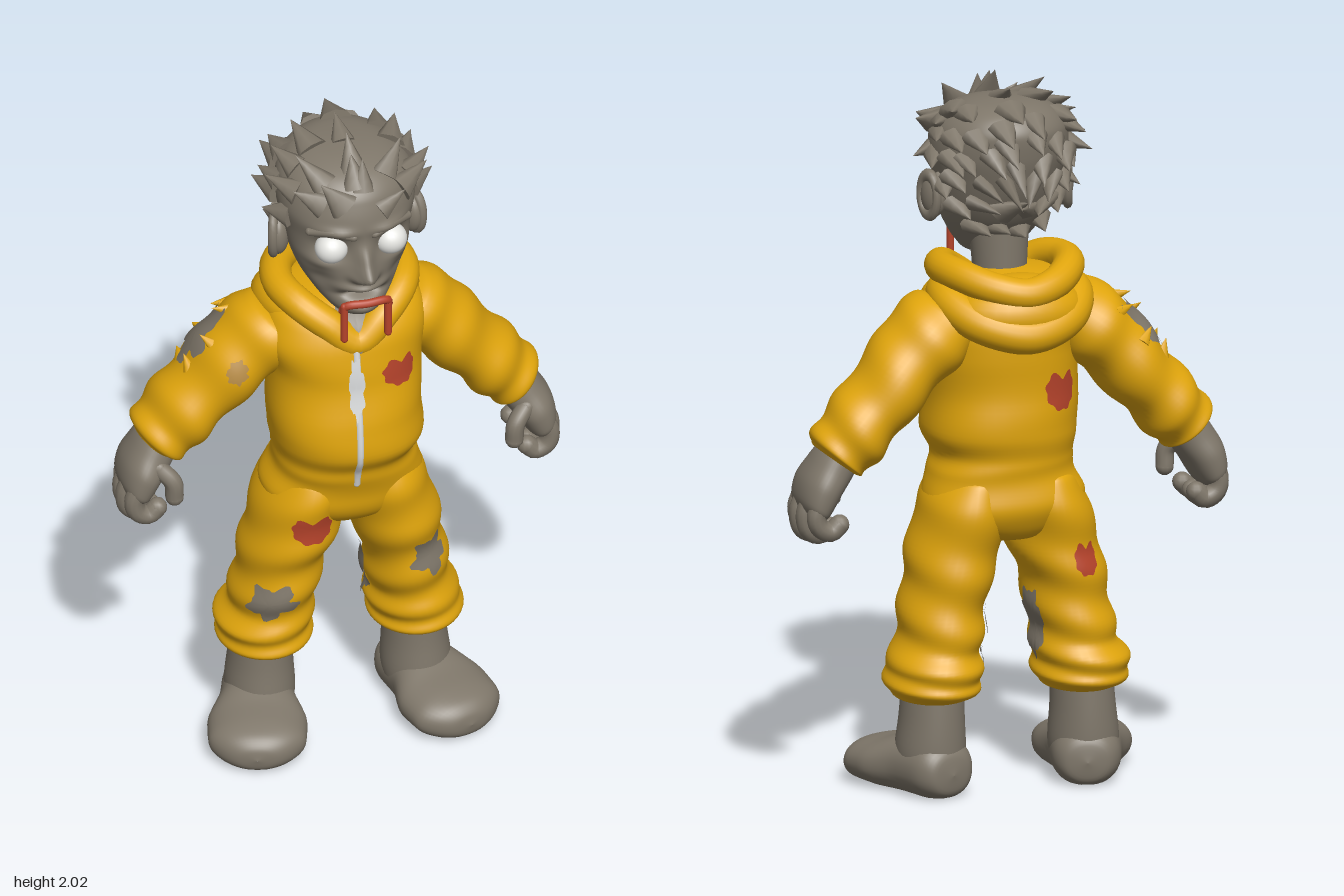
import * as THREE from 'three';
import { mergeGeometries } from 'three/addons/utils/BufferGeometryUtils.js';

const V = (x, y, z) => new THREE.Vector3(x, y, z);
const X = V(1, 0, 0), Y = V(0, 1, 0), Z = V(0, 0, 1);
const TIP = 0.0005; // radius of a closed end
const paint = (name, color) => Object.assign(new THREE.MeshStandardMaterial({ color }), { name });

export function createModel() {
  const skin = paint('grey skin', 0x7f776a), cloth = paint('yellow cloth', 0xe0a50c), blood = paint('blood red', 0xb5432b);
  const white = paint('eye white', 0xe6e6e2), metal = paint('zip silver', 0xd6d8d9), tan = paint('tan patch', 0xb88d48);
  const model = new THREE.Group();
  model.name = 'figure';
  let seed = 7;
  const rand = () => (seed = (seed * 16807) % 2147483647) / 2147483647;

  const add = (name, geo, mat) => {
    const m = new THREE.Mesh(geo, mat);
    m.name = name;
    model.add(m);
    return m;
  };
  const indexed = (pos, idx) => {
    const g = new THREE.BufferGeometry();
    g.setAttribute('position', new THREE.Float32BufferAttribute(pos, 3));
    g.setIndex(idx);
    g.computeVertexNormals();
    return g;
  };

  // Skin over elliptical cross-sections [x, y, z, radius along u, radius along v]
  function loft(name, mat, rows, { u = X, v = Z, n = 2, seg = 40, steps = 48, fold = 0, freq = 30, shape } = {}) {
    const w = u.clone().cross(v), last = rows.length - 1;
    const slope = (i, c) => {
      const d0 = i > 0 ? rows[i][c] - rows[i - 1][c] : rows[1][c] - rows[0][c];
      const d1 = i < last ? rows[i + 1][c] - rows[i][c] : d0;
      return d0 * d1 <= 0 ? 0 : 2 * d0 * d1 / (d0 + d1);
    };
    const row = t => {
      const k = t * last, i = Math.min(Math.floor(k), last - 1), f = k - i, f2 = f * f, f3 = f2 * f;
      return rows[i].map((p, c) => p * (2 * f3 - 3 * f2 + 1) + rows[i + 1][c] * (3 * f2 - 2 * f3)
        + slope(i, c) * (f3 - 2 * f2 + f) + slope(i + 1, c) * (f3 - f2));
    };
    const at = (t, th, off = 0) => {
      const [x, y, z, a, b] = row(t), c = Math.cos(th), s = Math.sin(th), e = 2 / n;
      const r = off + fold * Math.sin(freq * t + 1.6 * Math.sin(th + 1)) * Math.sin(Math.PI * t);
      const p = V(x, y, z)
        .addScaledVector(u, Math.max(a + r, 0) * Math.sign(c) * Math.abs(c) ** e)
        .addScaledVector(v, Math.max(b + r, 0) * Math.sign(s) * Math.abs(s) ** e);
      if (shape) shape(p);
      return p;
    };
    const sign = Math.sign(V(...rows[last]).sub(V(...rows[0])).dot(w));
    // Nearest surface point to P, measured outwards from the centre line
    const project = (P, off = 0) => {
      let lo = 0, hi = 1;
      for (let i = 0; i < 24; i++) {
        const m = (lo + hi) / 2, c = row(m);
        if ((V(c[0], c[1], c[2]).dot(w) - P.dot(w)) * sign < 0) lo = m; else hi = m;
      }
      const c = row(lo), d = P.clone().sub(V(c[0], c[1], c[2]));
      return at(lo, Math.atan2(d.dot(v) / c[4], d.dot(u) / c[3]), off);
    };
    const pos = [], idx = [];
    for (let i = 0; i <= steps; i++) for (let j = 0; j < seg; j++) {
      pos.push(...at(i / steps, j / seg * 2 * Math.PI).toArray());
      if (i === steps) continue;
      const a = i * seg + j, b = i * seg + (j + 1) % seg, c = a + seg, d = b + seg;
      idx.push(...(sign > 0 ? [a, b, d, a, d, c] : [a, d, b, a, c, d]));
    }
    return { mesh: add(name, indexed(pos, idx), mat), project };
  }

  // Thin painted plate wrapped onto a loft, outline given as radius by angle
  function decal(name, mat, surf, P, e1, e2, outline, off = 0.005) {
    const rings = 6, seg = 48, pos = [...surf.project(P, off).toArray()], idx = [];
    const n = surf.project(P, off).sub(surf.project(P, -0.03));
    const order = e1.clone().cross(e2).dot(n) > 0;
    for (let r = 1; r <= rings; r++) for (let j = 0; j < seg; j++) {
      const f = j / seg * 2 * Math.PI, q = outline(f) * r / rings;
      pos.push(...surf.project(P.clone().addScaledVector(e1, q * Math.cos(f)).addScaledVector(e2, q * Math.sin(f)), off).toArray());
      const k = (j + 1) % seg, o = 1 + (r - 1) * seg, tri = (a, b, c) => idx.push(...(order ? [a, b, c] : [a, c, b]));
      if (r === 1) tri(0, 1 + j, 1 + k);
      else { tri(o - seg + j, o + j, o + k); tri(o - seg + j, o + k, o - seg + k); }
    }
    add(name, indexed(pos, idx), mat);
  }
  const torn = f => 0.88 + 0.2 * Math.cos(5 * f + 0.6) + 0.08 * Math.sin(11 * f);
  const stain = f => 1 - 0.65 * Math.exp(-(((f - 1.6) / 0.42) ** 2)) + 0.06 * Math.sin(9 * f);
  const ragged = f => 0.9 + 0.1 * Math.sin(7 * f) + 0.07 * Math.cos(12 * f);

  // Round-ended tube through points
  const tube = (pts, r, closed = false) => {
    const parts = [new THREE.TubeGeometry(new THREE.CatmullRomCurve3(pts, closed), closed ? 72 : 20, r, closed ? 18 : 12, closed)];
    if (!closed) for (const p of [pts[0], pts[pts.length - 1]]) parts.push(new THREE.SphereGeometry(r, 12, 8).translate(p.x, p.y, p.z));
    return mergeGeometries(parts);
  };
  // Pointed tuft or cloth shred starting at p
  const spike = (p, dir, r, h) => {
    const g = new THREE.ConeGeometry(r, h, 8, 3);
    g.translate(0, h / 2 - 0.022, 0).scale(1, 1, 0.65);
    g.applyQuaternion(new THREE.Quaternion().setFromUnitVectors(Y, dir.clone().normalize()));
    return g.translate(p.x, p.y, p.z);
  };
  const ball = (name, mat, p, s) => {
    const m = add(name, new THREE.SphereGeometry(1, 32, 20), mat);
    m.position.copy(p);
    m.scale.copy(s);
    return m;
  };

  // Torso of the suit
  const torso = loft('suitTorso', cloth, [
    [0, 0.705, -0.02, TIP, TIP], [0, 0.718, -0.02, 0.1, 0.1], [0, 0.765, -0.016, 0.2, 0.155], [0, 0.83, -0.01, 0.23, 0.177], [0, 0.9, 0, 0.205, 0.18],
    [0, 0.95, 0.01, 0.196, 0.188], [0, 1.02, 0.015, 0.215, 0.212], [0, 1.12, 0.02, 0.214, 0.208], [0, 1.25, 0, 0.215, 0.195],
    [0, 1.35, 0, 0.235, 0.188], [0, 1.42, -0.01, 0.218, 0.165], [0, 1.47, -0.03, 0.15, 0.12], [0, 1.49, -0.03, TIP, TIP],
  ], { n: 2.25, seg: 56, steps: 72, fold: 0.004, freq: 38 });
  decal('openCollarSkin', skin, torso, V(0, 1.455, 0.14), V(0.09, 0, 0), V(0, 0.1, 0),
    f => 0.5 / Math.cos(((f + Math.PI / 2) % (2 * Math.PI / 3)) - Math.PI / 3));
  decal('chestStain', blood, torso, V(0.112, 1.275, 0.17), V(0.066, 0, 0), V(0, 0.05, 0), stain);
  decal('backStain', blood, torso, V(-0.115, 1.155, -0.17), V(0.058, 0, -0.015), V(0, 0.062, 0), stain);
  const zip = [];
  for (let y = 1.36; y > 0.89; y -= 0.03) zip.push(torso.project(V(-0.008, y, 0.2), -0.006));
  add('zip', tube(zip, 0.011), metal);
  decal('zipFlap', metal, torso, V(-0.013, 1.25, 0.2), V(0.019, 0, 0), V(0, 0.1, 0), ragged, 0.006);

  // Folded-down hood
  const loop = pts => [...pts, ...pts.slice(1, -1).reverse().map(p => V(-p.x, p.y, p.z))];
  add('hoodRim', tube(loop([V(0, 1.372, 0.145), V(0.08, 1.432, 0.125), V(0.148, 1.478, 0.07), V(0.178, 1.49, -0.02),
    V(0.155, 1.488, -0.12), V(0.085, 1.465, -0.2), V(0, 1.45, -0.228)]), 0.045, true), cloth);
  add('hoodRoll', tube(loop([V(0, 1.4, 0.06), V(0.15, 1.42, 0.02), V(0.182, 1.41, -0.09), V(0.125, 1.365, -0.195), V(0, 1.335, -0.24)]), 0.053, true), cloth);
  ball('hoodBag', cloth, V(0, 1.385, -0.14), V(0.19, 0.1, 0.135));

  // Neck and head
  loft('neck', skin, [[0, 1.36, 0.03, 0.08, 0.085], [0, 1.45, 0.01, 0.075, 0.08], [0, 1.6, 0.02, 0.085, 0.09]], { steps: 12 });
  const bumps = [ // x, y, height, spread x, spread y
    [0, 1.662, 0.05, 0.027, 0.026], [0, 1.7, 0.032, 0.022, 0.04], [0.025, 1.648, 0.018, 0.018, 0.016],
    [0.085, 1.735, -0.028, 0.045, 0.035], [0.08, 1.795, 0.016, 0.05, 0.016], [0.12, 1.685, 0.012, 0.035, 0.018],
    [0.11, 1.62, -0.018, 0.03, 0.03], [0, 1.608, 0.022, 0.06, 0.014], [0, 1.575, -0.04, 0.05, 0.013], [0, 1.53, 0.012, 0.05, 0.02],
  ];
  const head = loft('head', skin, [
    [0, 1.495, 0.12, TIP, TIP], [0, 1.502, 0.12, 0.06, 0.075], [0, 1.53, 0.105, 0.092, 0.112], [0, 1.575, 0.083, 0.125, 0.132],
    [0, 1.62, 0.066, 0.15, 0.157], [0, 1.68, 0.048, 0.17, 0.177], [0, 1.75, 0.033, 0.182, 0.192], [0, 1.82, 0.023, 0.195, 0.202],
    [0, 1.88, 0.01, 0.187, 0.196], [0, 1.93, 0, 0.15, 0.16], [0, 1.957, -0.01, 0.085, 0.09], [0, 1.966, -0.01, TIP, TIP],
  ], {
    seg: 112, steps: 110,
    shape: p => {
      const front = THREE.MathUtils.smoothstep(p.z, 0.02, 0.14), ax = Math.abs(p.x), y = p.y;
      for (const [x, by, h, sx, sy] of bumps) p.z += front * h * Math.exp(-(((ax - x) / sx) ** 2) - ((y - by) / sy) ** 2);
    },
  });
  for (const s of [1, -1]) {
    const side = s > 0 ? 'left' : 'right';
    ball(side + 'Eye', white, V(s * 0.085, 1.735, 0.186), V(0.047, 0.045, 0.045));
    add(side + 'Brow', tube([V(s * 0.03, 1.782, 0.218), V(s * 0.08, 1.797, 0.207), V(s * 0.14, 1.785, 0.162)], 0.013), skin);
    const ear = ball(side + 'Ear', skin, V(s * 0.19, 1.69, 0.022), V(0.03, 0.062, 0.044));
    ear.rotation.y = s * 0.35;
    const rim = add(side + 'EarRim', new THREE.TorusGeometry(0.042, 0.014, 10, 28), skin);
    rim.scale.set(0.85, 1.35, 1);
    rim.position.set(s * 0.204, 1.692, 0.02);
    rim.rotation.y = Math.PI / 2 + s * 0.35;
  }

  // Swept-back hair in flat clumps, standing up more on the crown
  const tufts = [];
  for (const [y, reach, count] of [[1.6, 0.8, 4], [1.67, 1.15, 6], [1.74, 1.5, 8], [1.81, 1.95, 11], [1.87, 2.9, 14], [1.92, 3.1, 10], [1.95, 3.1, 5]])
    for (let i = 0; i < count; i++) {
      const az = (i / (count - 1) * 2 - 1) * reach + (rand() - 0.5) * 0.2, yy = y + (rand() - 0.5) * 0.035;
      const p = head.project(V(Math.sin(az) * 0.2, yy, -Math.cos(az) * 0.2));
      const n = p.clone().sub(V(0, 1.74, 0)).normalize(), flow = V(0, -0.35, -1);
      flow.addScaledVector(n, -flow.dot(n)).normalize();
      const lift = 0.25 + rand() * 0.2 + (y > 1.9 ? 0.08 : 0);
      tufts.push(spike(p, n.multiplyScalar(lift).add(flow.multiplyScalar(0.85)), 0.034 + rand() * 0.014, 0.09 + rand() * 0.03));
    }
  add('hair', mergeGeometries(tufts), skin);

  // Blood around and below the mouth
  add('mouthBlood', tube([V(-0.065, 1.545, 0.228), V(-0.055, 1.568, 0.243), V(0, 1.572, 0.252), V(0.058, 1.568, 0.243), V(0.068, 1.545, 0.228)], 0.012), blood);
  for (const s of [1, -1]) add('bloodDrip', tube([V(s * 0.063, 1.565, 0.24), V(s * 0.063, 1.5, 0.24), V(s * 0.063, 1.455, 0.24)], 0.011), blood);

  for (const s of [1, -1]) {
    const side = s > 0 ? 'left' : 'right', flip = rows => rows.map(([x, ...r]) => [x * s, ...r]);

    // Sleeve
    const arm = loft(side + 'Sleeve', cloth, flip([
      [0.12, 1.385, -0.03, TIP, TIP], [0.17, 1.36, -0.04, 0.112, 0.13], [0.24, 1.305, -0.055, 0.116, 0.14], [0.32, 1.222, -0.065, 0.105, 0.135],
      [0.412, 1.117, -0.075, 0.099, 0.13], [0.478, 1.04, -0.08, 0.097, 0.12], [0.515, 0.995, -0.08, 0.085, 0.105],
      [0.522, 0.986, -0.08, 0.06, 0.08], [0.524, 0.983, -0.08, TIP, TIP],
    ]), { u: V(s * 0.783, 0.622, 0), steps: 72, fold: 0.007, freq: 36 });
    if (s < 0) {
      const e1 = V(-0.07, -0.08, 0), e2 = V(0.012, 0, -0.075), P = V(-0.37, 1.3, -0.1);
      decal('sleeveTear', skin, arm, P, e1, e2, torn);
      decal('sleevePatch', tan, arm, V(-0.318, 1.27, 0.05), V(0.031, 0.01, 0), V(0, 0.036, 0), ragged);
      const shreds = [];
      for (let i = 0; i < 6; i++) {
        const f = (i + 0.3) / 6 * 2 * Math.PI, d = e1.clone().multiplyScalar(Math.cos(f)).addScaledVector(e2, Math.sin(f));
        shreds.push(spike(arm.project(P.clone().add(d)), d.multiplyScalar(-3).add(V(-0.35, 0.35, 0)), 0.022, 0.058));
      }
      add('sleeveShreds', mergeGeometries(shreds), cloth);
    }

    // Hand with curled fingers
    loft(side + 'Palm', skin, flip([
      [0.495, 1.02, -0.08, 0.055, 0.075], [0.53, 0.965, -0.075, 0.062, 0.088], [0.565, 0.91, -0.07, 0.06, 0.104],
      [0.585, 0.86, -0.07, 0.05, 0.1], [0.592, 0.835, -0.07, 0.03, 0.07], [0.594, 0.83, -0.07, TIP, TIP],
    ]), { u: V(s * 0.85, 0.527, 0), n: 2.2, steps: 28 });
    for (let i = 0; i < 4; i++) {
      const z = -0.14 + i * 0.046, k = [0.02, 0.004, 0, 0.012][i];
      add(side + 'Finger', tube([V(s * (0.585 - k), 0.9, z), V(s * (0.612 - k), 0.84, z), V(s * (0.602 - k), 0.79 + k, z),
        V(s * (0.57 - k), 0.775 + k, z), V(s * (0.545 - k), 0.795 + k, z)], 0.028), skin);
    }
    add(side + 'Thumb', tube([V(s * 0.53, 0.94, 0), V(s * 0.495, 0.9, 0.022), V(s * 0.49, 0.85, 0.022)], 0.026), skin);

    // Trouser leg with gathered cuff
    const leg = loft(side + 'TrouserLeg', cloth, flip([
      [0.095, 0.93, 0, TIP, TIP], [0.105, 0.89, -0.005, 0.085, 0.155], [0.12, 0.81, -0.01, 0.117, 0.174], [0.142, 0.7, -0.01, 0.128, 0.167],
      [0.168, 0.6, -0.02, 0.12, 0.157], [0.187, 0.5, -0.025, 0.117, 0.153], [0.199, 0.42, -0.035, 0.118, 0.153], [0.215, 0.36, -0.042, 0.133, 0.165],
      [0.217, 0.315, -0.045, 0.133, 0.163], [0.217, 0.283, -0.048, 0.115, 0.135], [0.217, 0.27, -0.05, 0.08, 0.09], [0.217, 0.268, -0.05, TIP, TIP],
    ]), { steps: 84, fold: 0.007, freq: 44 });
    decal(side + 'InnerLegTear', skin, leg, V(s * 0.07, 0.465, -0.065), V(0, 0, 0.06), V(0, 0.105, 0), ragged, 0.006);
    if (s > 0) decal('leftKneeTear', skin, leg, V(0.22, 0.585, 0.12), V(0.062, 0, -0.015), V(0, 0.068, 0), torn, 0.006);
    else {
      decal('rightKneeTear', skin, leg, V(-0.24, 0.495, 0.11), V(0.075, 0, 0.02), V(0.02, 0.062, 0), torn, 0.006);
      decal('thighStain', blood, leg, V(-0.13, 0.76, 0.15), V(0.057, 0, 0), V(0, 0.05, 0), stain, 0.007);
      decal('backThighStain', blood, leg, V(-0.19, 0.665, -0.165), V(0.036, 0, -0.008), V(0, 0.052, 0), stain, 0.006);
    }

    // Ankle and foot, toes turned out
    loft(side + 'Ankle', skin, flip([[0.217, 0.34, -0.05, 0.085, 0.1], [0.222, 0.22, -0.052, 0.09, 0.106],
      [0.225, 0.12, -0.048, 0.098, 0.112], [0.225, 0.05, -0.045, 0.09, 0.105]]), { steps: 16 });
    const foot = loft(side + 'Foot', skin, [
      [0, 0.07, -0.128, TIP, TIP], [0, 0.072, -0.118, 0.06, 0.055], [0, 0.078, -0.07, 0.095, 0.085], [0, 0.078, 0.03, 0.106, 0.088],
      [0, 0.066, 0.13, 0.139, 0.074], [0, 0.06, 0.2, 0.136, 0.066], [0, 0.054, 0.25, 0.1, 0.054], [0, 0.05, 0.276, 0.05, 0.03], [0, 0.05, 0.283, TIP, TIP],
    ], { v: Y, n: 2.2, steps: 40, shape: p => { p.y = Math.max(p.y, 0); } }).mesh;
    foot.position.set(s * 0.232, 0, -0.045);
    foot.rotation.y = s * 0.28;
  }
  return model;
}
